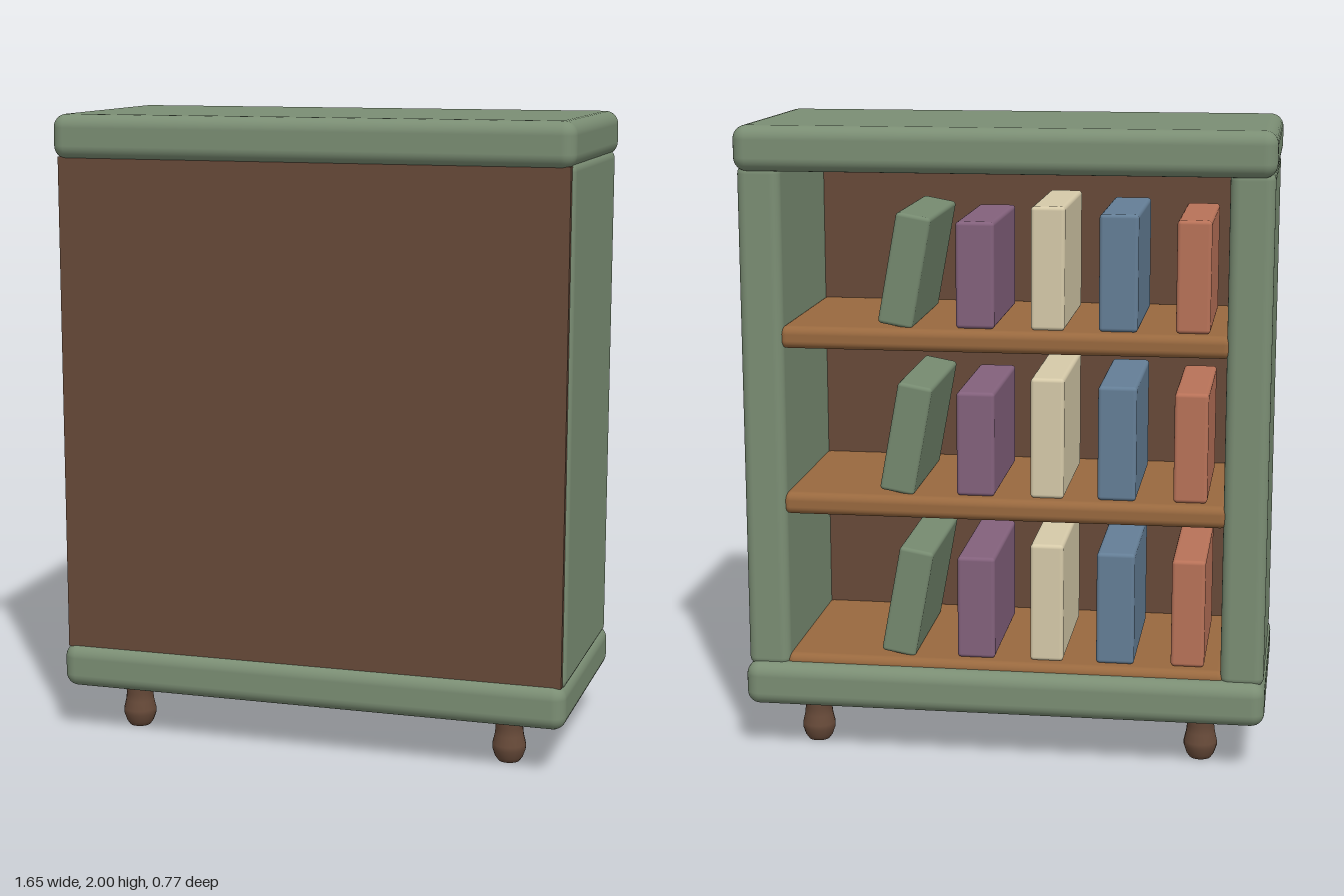
import * as THREE from 'three';
import { RoundedBoxGeometry } from 'three/addons/geometries/RoundedBoxGeometry.js';

const paint = (color) => new THREE.MeshStandardMaterial({ color });
const green = paint(0x7b8e74);
const darkWood = paint(0x674a39);
const shelfWood = paint(0x99693f);

// Soft-edged box given by its size and centre
function block(name, [w, h, d], [x, y, z], radius, material) {
  const mesh = new THREE.Mesh(new RoundedBoxGeometry(w, h, d, 4, radius), material);
  mesh.name = name;
  mesh.position.set(x, y, z);
  return mesh;
}

// One row of books standing on a shelf whose top is at y = 0
function bookRow() {
  const row = new THREE.Group();
  row.name = 'bookRow';
  // x, width, height, lean, colour
  const books = [
    [0.31, 0.11, 0.35, 0.18, 0x75896f],
    [0.09, 0.12, 0.33, 0, 0x83617c],
    [-0.135, 0.105, 0.38, 0, 0xd6caa9],
    [-0.352, 0.12, 0.36, 0, 0x647e96],
    [-0.58, 0.105, 0.345, 0, 0xb87258],
  ];
  for (const [x, w, h, lean, color] of books) {
    const book = block('book', [w, h, 0.48], [x, h / 2, -0.06], 0.012, paint(color));
    book.rotation.z = lean;
    row.add(book);
  }
  return row;
}

export function createModel() {
  const model = new THREE.Group();
  model.name = 'bookcase';

  // Top and base slabs
  model.add(block('topSlab', [1.65, 0.14, 0.77], [0, 1.93, 0], 0.042, green));
  model.add(block('baseSlab', [1.65, 0.14, 0.77], [0, 0.225, 0], 0.042, green));

  // Side walls
  for (const s of [-1, 1]) {
    model.add(block('sideWall', [0.135, 1.605, 0.7], [s * 0.7525, 1.078, 0], 0.03, green));
  }

  // Closing panel on the +z side; the shelves open towards -z
  const panel = new THREE.Mesh(new THREE.BoxGeometry(1.62, 1.58, 0.1), darkWood);
  panel.name = 'panel';
  panel.position.set(0, 1.078, 0.312);
  model.add(panel);

  // Shelves with their books
  for (let i = 0; i < 3; i++) {
    const top = 0.32 + i * 0.53;
    model.add(block('shelf', [1.4, 0.07, 0.62], [0, top - 0.035, -0.03], 0.025, shelfWood));
    const row = bookRow();
    row.position.y = top;
    model.add(row);
  }

  // Turned feet
  const profile = [
    [0, 0], [0.034, 0], [0.044, 0.014], [0.053, 0.04], [0.053, 0.055],
    [0.046, 0.085], [0.043, 0.11], [0.049, 0.14], [0.05, 0.165], [0, 0.165],
  ].map(([r, y]) => new THREE.Vector2(r, y));
  const footGeometry = new THREE.LatheGeometry(profile, 20);
  for (const x of [-0.622, 0.622]) {
    for (const z of [-0.223, 0.223]) {
      const foot = new THREE.Mesh(footGeometry, darkWood);
      foot.name = 'foot';
      foot.position.set(x, 0, z);
      model.add(foot);
    }
  }
  return model;
}
